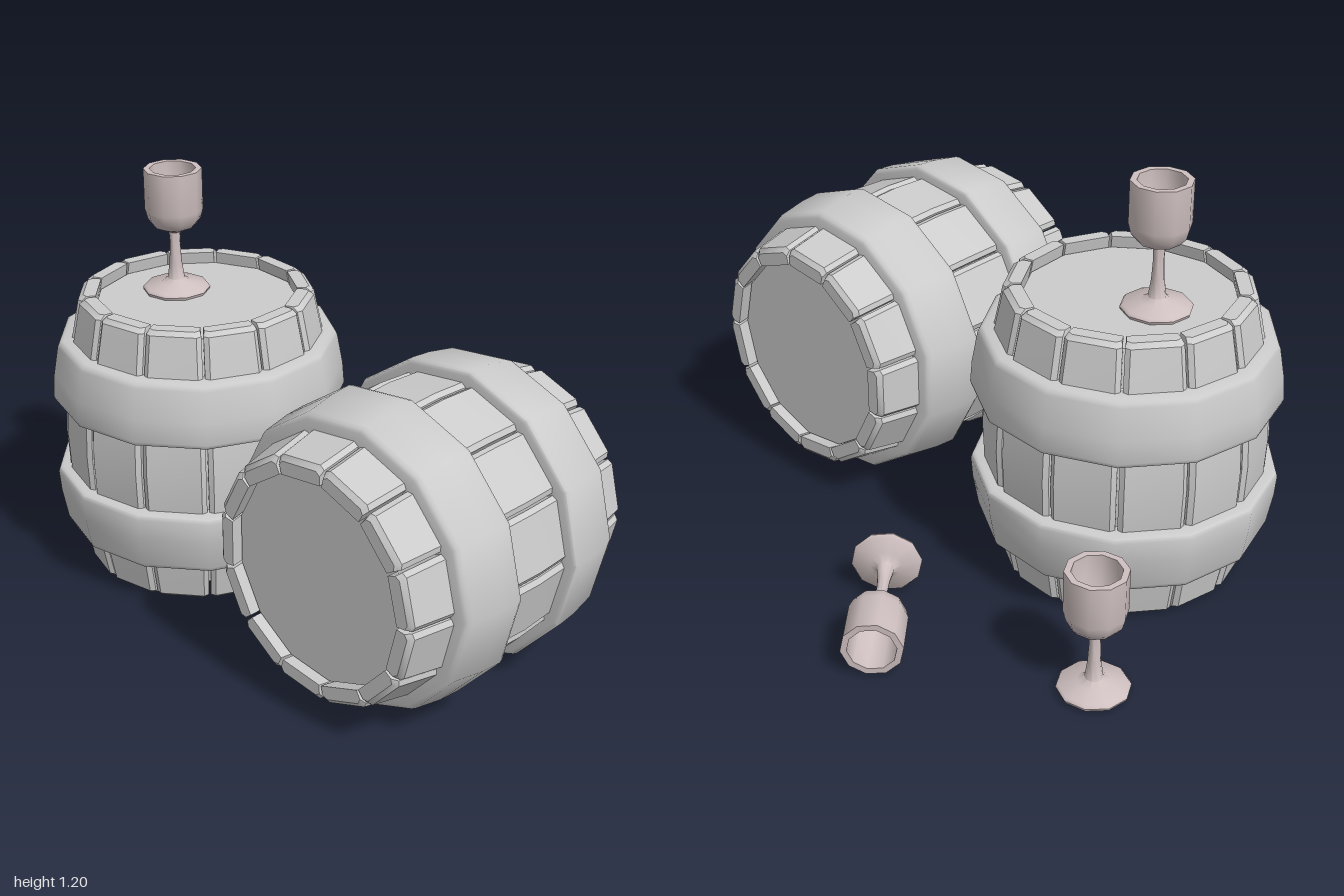
import * as THREE from 'three';
import { toCreasedNormals } from 'three/addons/utils/BufferGeometryUtils.js';

const SIDES = 13;
const HALF = 0.4275; // half the barrel height
const grey = new THREE.MeshStandardMaterial({ color: 0xcccccc });
const pewter = new THREE.MeshStandardMaterial({ color: 0xcfc0c0 });

function addMesh(parent, name, geometry, material) {
  const mesh = new THREE.Mesh(geometry, material);
  mesh.name = name;
  parent.add(mesh);
  return mesh;
}

// Skins a stack of equal-sized rings (counterclockwise from above) and caps both ends
function loft(rings) {
  const n = rings[0].length, index = [];
  for (let j = 0; j < rings.length - 1; j++) {
    for (let i = 0; i < n; i++) {
      const a = j * n + i, b = j * n + (i + 1) % n;
      index.push(a, b, b + n, a, b + n, a + n);
    }
  }
  const top = (rings.length - 1) * n;
  for (let i = 1; i < n - 1; i++) {
    index.push(0, i + 1, i, top, top + i, top + i + 1);
  }
  const geometry = new THREE.BufferGeometry();
  geometry.setAttribute('position', new THREE.Float32BufferAttribute(rings.flat(2), 3));
  geometry.setIndex(index);
  return toCreasedNormals(geometry, 0.5);
}

function lathe(profile, sides) {
  const points = profile.map(([r, y]) => new THREE.Vector2(r, y));
  return toCreasedNormals(new THREE.LatheGeometry(points, sides), 0.9);
}

// One bowed plank with chamfered edges, facing +z
function staveGeometry() {
  const bevel = 0.012, gap = 0.006, thick = 0.05;
  const half = [[0, 0.394, 0], [0.11, 0.389, 0], [0.2, 0.378, 0], [0.3, 0.362, 0],
    [HALF - bevel, 0.339, 0], [HALF, 0.337, bevel]];
  const levels = [...half.slice(1).reverse().map(([y, a, s]) => [-y, a, s]), ...half];
  const t = Math.tan(Math.PI / SIDES);
  return loft(levels.map(([y, a, shrink]) => {
    const inner = a - thick;
    const outer = a - shrink;
    const w = a * t - gap - shrink * 0.5;
    const wi = inner * t - gap * 0.6;
    return [[-wi, y, inner], [-w, y, outer - bevel], [-w + bevel, y, outer],
      [w - bevel, y, outer], [w, y, outer - bevel], [wi, y, inner]];
  }));
}

const stave = staveGeometry();

// Thick hoop with rounded edges, following the bulge of the barrel
const bandProfile = [[0.37, 0.11], [0.421, 0.11], [0.431, 0.114], [0.435, 0.126], [0.43, 0.19],
  [0.414, 0.28], [0.409, 0.292], [0.398, 0.298], [0.34, 0.298], [0.37, 0.11]];
const upperBand = lathe(bandProfile, SIDES);
const lowerBand = lathe(bandProfile.map(([r, y]) => [r, -y]).reverse(), SIDES);

function createBarrel(name) {
  const barrel = new THREE.Group();
  barrel.name = name;
  for (let i = 0; i < SIDES; i++) {
    addMesh(barrel, 'stave', stave, grey).rotation.y = (i + 0.5) * 2 * Math.PI / SIDES;
  }
  addMesh(barrel, 'upperBand', upperBand, grey);
  addMesh(barrel, 'lowerBand', lowerBand, grey);
  // Recessed heads and the core seen between the staves
  const h = HALF - 0.035;
  const core = [[0, -h], [0.298, -h], [0.333, -0.25], [0.352, 0], [0.333, 0.25], [0.298, h], [0, h]];
  addMesh(barrel, 'headsAndCore', lathe(core, SIDES), grey);
  return barrel;
}

// Foot, stem, round-bottomed cup and its hollow
const goblet = lathe([[0, 0], [0.097, 0], [0.1, 0.008], [0.094, 0.016], [0.045, 0.026],
  [0.025, 0.038], [0.018, 0.09], [0.015, 0.15], [0.017, 0.182], [0.035, 0.19], [0.06, 0.202],
  [0.077, 0.222], [0.085, 0.252], [0.085, 0.375], [0.067, 0.375], [0.065, 0.27],
  [0.05, 0.235], [0, 0.225]], 10);

export function createModel() {
  const model = new THREE.Group();
  model.name = 'barrelsAndGoblets';

  const standing = createBarrel('standingBarrel');
  standing.position.set(-0.255, 0.432, -0.335);
  standing.rotation.y = Math.PI;

  const lying = createBarrel('lyingBarrel');
  lying.position.set(0.113, 0.439, 0.505);
  lying.rotation.set(0, 0.443, -Math.PI / 2);
  model.add(standing, lying);

  addMesh(model, 'gobletOnBarrel', goblet, pewter).position.set(-0.288, 0.825, -0.43);
  addMesh(model, 'gobletOnGround', goblet, pewter).position.set(0.08, 0.01, -0.9);

  const fallen = addMesh(model, 'fallenGoblet', goblet, pewter);
  fallen.position.set(0.447, 0.107, -0.302);
  fallen.quaternion.setFromUnitVectors(
    new THREE.Vector3(0, 1, 0), new THREE.Vector3(0.41, -0.04, -0.911).normalize());
  return model;
}
